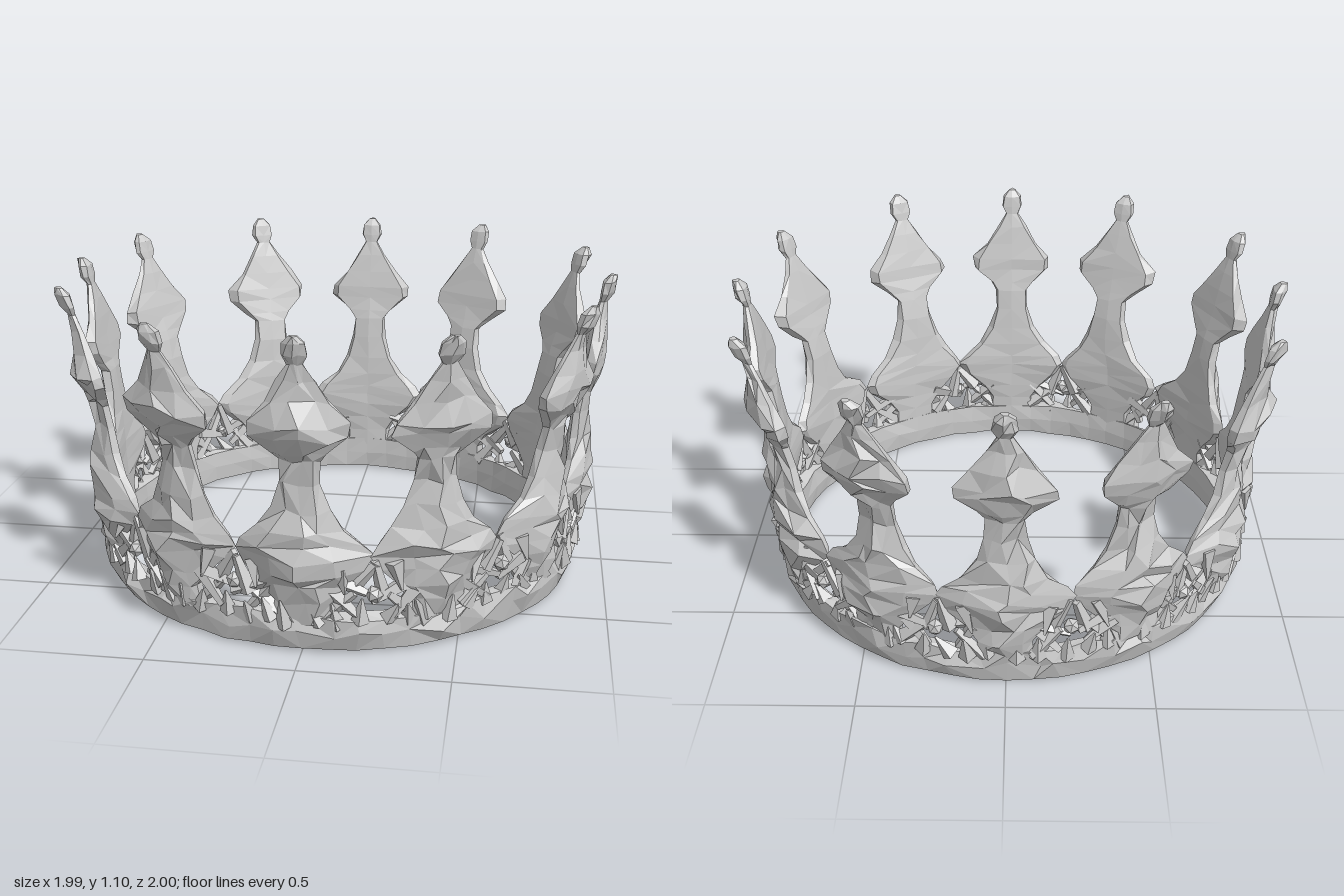
import * as THREE from 'three';

const POINTS = 12;
const STEP = (Math.PI * 2) / POINTS;
const material = new THREE.MeshStandardMaterial({ color: 0xcccccc, flatShading: true });

let seed = 7;
const rand = () => {
  seed = (seed * 16807) % 2147483647;
  return seed / 2147483647;
};
const jitter = (amount) => (rand() * 2 - 1) * amount;

// Wraps arc length u, height y and radius r round the crown.
const polar = (angle, u, y, r) => {
  const a = angle + u / 0.9;
  return new THREE.Vector3(Math.sin(a) * r, y, Math.cos(a) * r);
};

// Faceted skin over closed rings of equal size, capped or joined end to end.
function skin(rings, loop) {
  const pos = [];
  const tri = (a, b, c) => pos.push(...a.toArray(), ...b.toArray(), ...c.toArray());
  const n = rings[0].length;
  const rows = loop ? rings.length : rings.length - 1;
  for (let j = 0; j < rows; j++) {
    const low = rings[j], up = rings[(j + 1) % rings.length];
    for (let k = 0; k < n; k++) {
      const m = (k + 1) % n;
      if (rand() < 0.5) {
        tri(low[k], low[m], up[m]);
        tri(low[k], up[m], up[k]);
      } else {
        tri(low[k], low[m], up[k]);
        tri(low[m], up[m], up[k]);
      }
    }
  }
  if (!loop) {
    const last = rings[rings.length - 1];
    for (let k = 1; k < n - 1; k++) {
      tri(rings[0][0], rings[0][k + 1], rings[0][k]);
      tri(last[0], last[k], last[k + 1]);
    }
  }
  const geometry = new THREE.BufferGeometry();
  geometry.setAttribute('position', new THREE.Float32BufferAttribute(pos, 3));
  geometry.computeVertexNormals();
  return geometry;
}

function addMesh(parent, name, geometry) {
  const mesh = new THREE.Mesh(geometry, material);
  mesh.name = name;
  parent.add(mesh);
  return mesh;
}

// Rows of a crown point: height, half width, inner, edge and ridge radius.
const pointRows = [
  [0.11, 0.1, 0.84, 0.875, 0.89],
  [0.18, 0.095, 0.84, 0.88, 0.91],
  [0.24, 0.14, 0.84, 0.88, 0.93],
  [0.3, 0.21, 0.84, 0.875, 0.94],
  [0.345, 0.24, 0.842, 0.875, 0.94],
  [0.385, 0.215, 0.843, 0.875, 0.94],
  [0.44, 0.145, 0.845, 0.88, 0.935],
  [0.51, 0.098, 0.85, 0.885, 0.925],
  [0.6, 0.07, 0.858, 0.89, 0.915],
  [0.68, 0.066, 0.866, 0.9, 0.925],
  [0.715, 0.095, 0.874, 0.915, 0.94],
  [0.77, 0.155, 0.885, 0.935, 0.965],
  [0.815, 0.155, 0.89, 0.94, 0.975],
  [0.88, 0.103, 0.9, 0.93, 0.957],
  [0.95, 0.055, 0.912, 0.932, 0.95],
  [1.005, 0.024, 0.925, 0.94, 0.953],
  [1.035, 0.038, 0.927, 0.95, 0.972],
  [1.075, 0.034, 0.932, 0.96, 0.985],
  [1.1, 0.012, 0.955, 0.965, 0.98],
];

// Bulb, neck, diamond head and knob in one ridged, crumpled blade.
// The stem shifts sideways above the bulb and the head leans outward.
function crownPoint(angle, shift, lean) {
  const rings = pointRows.map(([y, w, inner, edge, ridge]) => {
    const rough = Math.min(0.028, w * 0.25);
    const mid = edge + (ridge - edge) * 0.6;
    const back = inner + (edge - inner) * 0.2;
    const side = shift * THREE.MathUtils.smoothstep(y, 0.3, 0.5);
    const out = lean * Math.max(0, (y - 0.6) / 0.5);
    const p = (u, r, amount) =>
      polar(angle, side + u + jitter(amount), y + jitter(amount * 0.6), r + out + jitter(amount * 0.6));
    return [
      p(-w, edge, rough * 0.35),
      p(-w * 0.5, mid, rough),
      p(0, ridge, rough),
      p(w * 0.5, mid, rough),
      p(w, edge, rough * 0.35),
      p(w * 0.9, back, rough * 0.2),
      p(0, inner, rough * 0.12),
      p(-w * 0.9, back, rough * 0.2),
    ];
  });
  return skin(rings, false);
}

// Uneven band with a slightly swollen outer face.
function band() {
  const rings = [];
  const count = 60;
  const section = [[0.13, 0.885], [0.075, 0.892], [0.01, 0.873], [0.005, 0.842], [0.07, 0.838], [0.135, 0.842]];
  for (let i = 0; i < count; i++) {
    const a = (i / count) * Math.PI * 2;
    rings.push(section.map(([y, r], k) => {
      const outer = k < 2;
      return polar(a, jitter(outer ? 0.03 : 0.006), Math.max(0, y + jitter(outer ? 0.02 : 0.005)),
        r + jitter(outer ? 0.016 : 0.003));
    }));
  }
  return skin(rings, true);
}

// Tapered four-sided twig between two positions.
function twig(parent, name, from, to, r0, r1) {
  const dir = to.clone().sub(from);
  const mesh = addMesh(parent, name, new THREE.CylinderGeometry(r1, r0, dir.length(), 4, 1));
  mesh.position.copy(from).addScaledVector(dir, 0.5);
  mesh.quaternion.setFromUnitVectors(new THREE.Vector3(0, 1, 0), dir.normalize());
}

// Paths of the openwork: start u, y and end u, y.
const twigs = [
  [-0.15, 0.13, -0.05, 0.22], [-0.05, 0.22, 0.0, 0.33],
  [0.15, 0.13, 0.06, 0.21], [0.06, 0.21, 0.0, 0.33],
  [-0.14, 0.23, -0.05, 0.14], [0.14, 0.23, 0.06, 0.14],
  [-0.13, 0.25, 0.0, 0.21], [0.13, 0.25, 0.0, 0.2],
];

function openwork(angle) {
  const group = new THREE.Group();
  group.name = 'openwork';
  const spot = (u, y, r) => polar(angle, u + jitter(0.02), y + jitter(0.016), r + jitter(0.012));
  for (const [u0, y0, u1, y1] of twigs) {
    twig(group, 'twig', spot(u0, y0, 0.868), spot(u1, y1, 0.878), 0.02 + rand() * 0.012, 0.014);
  }
  // Small leaves on the band and below the arch.
  for (const u of [-0.19, -0.12, -0.04, 0.04, 0.12, 0.19]) {
    twig(group, 'leaf', spot(u, 0.11, 0.875), spot(u + jitter(0.04), 0.19, 0.895), 0.032, 0.004);
  }
  for (const u of [-0.09, 0.09]) {
    twig(group, 'hangingLeaf', spot(u, 0.32, 0.88), spot(u * 1.2, 0.23, 0.905), 0.032, 0.004);
  }
  const bud = addMesh(group, 'bud', new THREE.IcosahedronGeometry(0.03, 0));
  bud.position.copy(spot(0, 0.225, 0.88));
  bud.rotation.set(rand() * 3, rand() * 3, 0);
  return group;
}

export function createModel() {
  const crown = new THREE.Group();
  crown.name = 'crown';
  addMesh(crown, 'band', band());
  // Stems beside the front, back and side points stand slightly closer to them.
  const shifts = [0, -0.03, 0.03];
  for (let i = 0; i < POINTS; i++) {
    const shift = shifts[i % 3];
    addMesh(crown, 'crownPoint', crownPoint(i * STEP, shift, shift ? 0.05 : 0.012));
    crown.add(openwork((i + 0.5) * STEP));
  }
  return crown;
}
